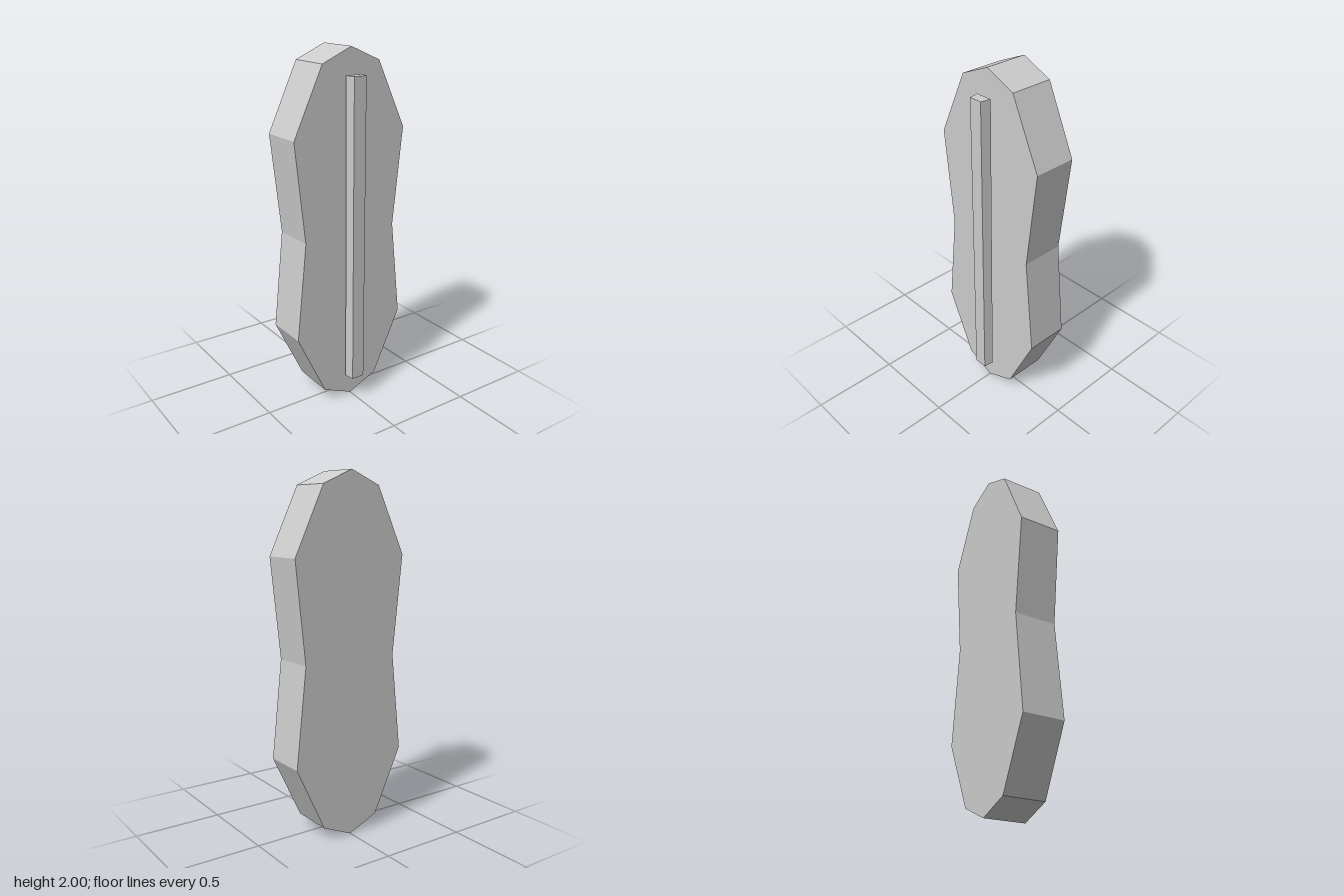
import * as THREE from 'three';

// Extrude a closed outline of [a, b] points into a flat-sided prism
function prism(points, depth) {
  const shape = new THREE.Shape(points.map(([a, b]) => new THREE.Vector2(a, b)));
  return new THREE.ExtrudeGeometry(shape, { depth, bevelEnabled: false });
}

export function createModel() {
  const group = new THREE.Group();
  const material = new THREE.MeshStandardMaterial({ color: 0xcccccc, flatShading: true });

  // Waisted body: right half of the outline from bottom to top, then mirrored
  const half = [[0.177, 0.077], [0.35, 0.445], [0.29, 1], [0.35, 1.555], [0.177, 1.923]];
  const mirrored = half.map(([x, y]) => [-x, y]).reverse();
  const body = new THREE.Mesh(prism([[0, 0], ...half, [0, 2], ...mirrored], 0.248), material);
  body.name = 'body';
  body.position.z = -0.163;
  group.add(body);

  // Tapered bar floating in front: a trapezoid section run vertically
  const section = [[-0.048, -0.107], [-0.038, -0.163], [0.038, -0.163], [0.048, -0.107]];
  const bar = new THREE.Mesh(prism(section, 1.72).rotateX(-Math.PI / 2), material);
  bar.name = 'frontBar';
  bar.position.y = 0.14;
  group.add(bar);

  return group;
}
